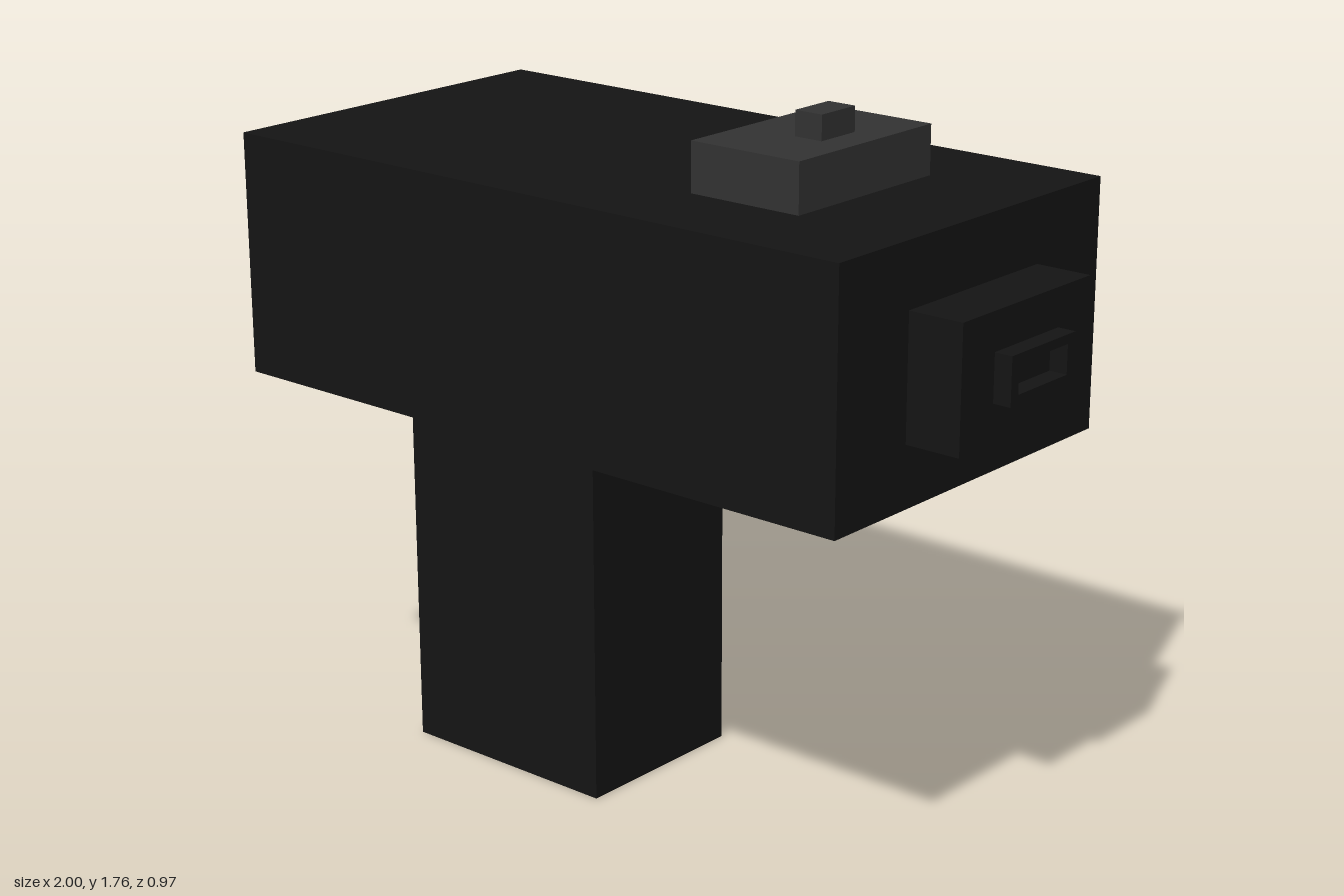
import * as THREE from 'three';

export function createModel() {
  const group = new THREE.Group();
  const black = new THREE.MeshStandardMaterial({ color: 0x151515 });
  const grey = new THREE.MeshStandardMaterial({ color: 0x333333 });

  // Box given by its x and y ranges and its depth, centred on z = 0
  function block(name, x0, x1, y0, y1, depth, material) {
    const mesh = new THREE.Mesh(new THREE.BoxGeometry(x1 - x0, y1 - y0, depth), material);
    mesh.position.set((x0 + x1) / 2, (y0 + y1) / 2, 0);
    mesh.name = name;
    group.add(mesh);
  }

  block('grip', -0.7, -0.095, 0, 0.975, 0.48, black);
  block('body', -1, 0.815, 0.975, 1.58, 0.97, black);
  block('barrel', 0.815, 0.955, 1.125, 1.425, 0.48, black);
  block('sightBase', 0.21, 0.515, 1.58, 1.7, 0.48, grey);
  block('sightPost', 0.36, 0.435, 1.7, 1.76, 0.12, grey);

  // Muzzle: rectangular frame around an open bore
  const rectangle = (path, w, h) => path
    .moveTo(-w / 2, -h / 2).lineTo(w / 2, -h / 2)
    .lineTo(w / 2, h / 2).lineTo(-w / 2, h / 2).closePath();
  const frame = rectangle(new THREE.Shape(), 0.24, 0.115);
  frame.holes.push(rectangle(new THREE.Path(), 0.185, 0.07));
  const muzzle = new THREE.Mesh(
    new THREE.ExtrudeGeometry(frame, { depth: 0.045, bevelEnabled: false }), black);
  muzzle.rotation.y = Math.PI / 2;
  muzzle.position.set(0.955, 1.275, 0);
  muzzle.name = 'muzzle';
  group.add(muzzle);

  return group;
}
